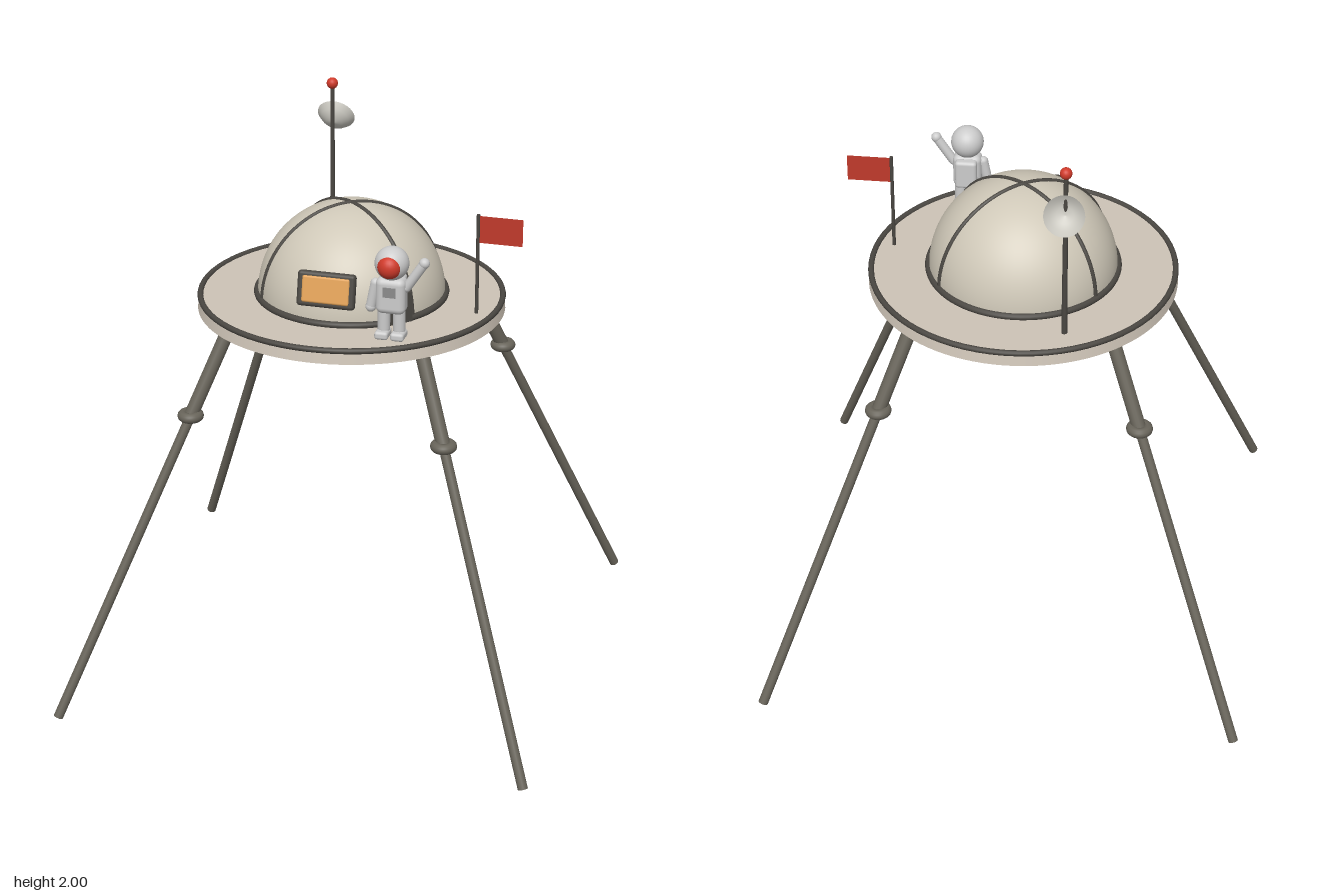
import * as THREE from 'three';
import { RoundedBoxGeometry } from 'three/addons/geometries/RoundedBoxGeometry.js';

const mat = (color, side = THREE.FrontSide) => new THREE.MeshStandardMaterial({ color, side });
const HULL = mat(0xcfc8b8), DECK = mat(0xcdc3b6), METAL = mat(0x68645a), TRIM = mat(0x4a4742);
const SUIT = mat(0xe6e6e4), GREY = mat(0x8c8c8c), RED = mat(0xd03a2a), AMBER = mat(0xe2a257);
const FLAG = mat(0xc0392b, THREE.DoubleSide), DISH = mat(0xcccac2, THREE.DoubleSide);

function add(parent, name, geometry, material, x = 0, y = 0, z = 0) {
  const mesh = new THREE.Mesh(geometry, material);
  mesh.name = name;
  mesh.position.set(x, y, z);
  parent.add(mesh);
  return mesh;
}

// Cylinder (or capsule) running from point a to point b
function rod(parent, name, a, b, radius, material, capsule = false) {
  const from = new THREE.Vector3(...a), to = new THREE.Vector3(...b);
  const dir = to.clone().sub(from), len = dir.length();
  const geometry = capsule
    ? new THREE.CapsuleGeometry(radius, len, 6, 16)
    : new THREE.CylinderGeometry(radius, radius, len, 16);
  const mesh = add(parent, name, geometry, material);
  mesh.position.copy(from).add(to).multiplyScalar(0.5);
  mesh.quaternion.setFromUnitVectors(new THREE.Vector3(0, 1, 0), dir.normalize());
  return mesh;
}

function ring(parent, name, radius, tube, material, x, y, z) {
  const mesh = add(parent, name, new THREE.TorusGeometry(radius, tube, 12, 72), material, x, y, z);
  mesh.rotation.x = Math.PI / 2;
  return mesh;
}

function buildLegs() {
  const g = new THREE.Group();
  g.name = 'legs';
  for (const sx of [-1, 1]) for (const sz of [-1, 1]) {
    const p = (d, y) => [sx * d, y, sz * d];
    rod(g, 'lowerLeg', p(0.821, 0.008), p(0.441, 1.035), 0.017, METAL);
    rod(g, 'upperLeg', p(0.441, 1.035), p(0.33, 1.335), 0.024, METAL);
    ring(g, 'legJoint', 0.027, 0.018, METAL, ...p(0.441, 1.037));
  }
  return g;
}

function buildDome() {
  const g = new THREE.Group();
  g.name = 'dome';
  g.position.y = 1.37;
  add(g, 'domeShell', new THREE.SphereGeometry(0.322, 64, 32, 0, Math.PI * 2, 0, Math.PI / 2), HULL);
  ring(g, 'domeBaseRing', 0.324, 0.012, TRIM, 0, 0.005, 0);
  for (const s of [-1, 1]) {
    const rib = add(g, 'domeRib', new THREE.TorusGeometry(0.321, 0.008, 10, 64, Math.PI), TRIM);
    rib.rotation.y = s * 0.61;
  }
  // Window leaning back with the dome
  const win = new THREE.Group();
  win.name = 'window';
  win.position.set(0, 0.12, 0.304);
  win.rotation.x = -0.22;
  add(win, 'windowFrame', new RoundedBoxGeometry(0.2, 0.12, 0.03, 3, 0.012), TRIM);
  add(win, 'windowPane', new RoundedBoxGeometry(0.165, 0.092, 0.02, 3, 0.008), AMBER, 0, 0, 0.009);
  g.add(win);
  // Hatch set at 45 degrees
  const hatch = add(g, 'hatch', new THREE.BoxGeometry(0.09, 0.105, 0.05), TRIM, 0.22, 0.052, 0.22);
  hatch.rotation.y = Math.PI / 4;
  return g;
}

function buildAntenna() {
  const g = new THREE.Group();
  g.name = 'antenna';
  g.position.set(-0.18, 0, -0.385);
  add(g, 'mast', new THREE.CylinderGeometry(0.007, 0.01, 0.62, 12), TRIM, 0, 1.675, 0);
  add(g, 'beacon', new THREE.SphereGeometry(0.02, 20, 14), RED, 0, 1.98, 0);
  const profile = [[0, 0], [0.028, 0.006], [0.05, 0.021], [0.067, 0.042]].map(p => new THREE.Vector2(...p));
  const dish = add(g, 'dish', new THREE.LatheGeometry(profile, 32), DISH, 0, 1.83, -0.011);
  dish.rotation.x = -1.07;
  return g;
}

function buildFlag() {
  const g = new THREE.Group();
  g.name = 'flag';
  g.position.set(0.458, 0, 0.073);
  add(g, 'flagPole', new THREE.CylinderGeometry(0.006, 0.006, 0.36, 10), TRIM, 0, 1.54, 0);
  add(g, 'flagCloth', new THREE.PlaneGeometry(0.15, 0.095), FLAG, 0.077, 1.668, 0);
  return g;
}

function buildAstronaut() {
  const g = new THREE.Group();
  g.name = 'astronaut';
  g.position.set(0.237, 1.37, 0.353);
  add(g, 'helmet', new THREE.SphereGeometry(0.057, 32, 20), SUIT, 0, 0.26, 0);
  const visor = add(g, 'visor', new THREE.SphereGeometry(0.04, 24, 16), RED, 0, 0.258, 0.032);
  visor.scale.set(1, 1, 0.9);
  add(g, 'torso', new RoundedBoxGeometry(0.1, 0.125, 0.066, 4, 0.022), SUIT, 0, 0.15, 0);
  add(g, 'chestPanel', new THREE.BoxGeometry(0.044, 0.034, 0.012), GREY, 0, 0.168, 0.031);
  add(g, 'backpack', new RoundedBoxGeometry(0.076, 0.105, 0.036, 3, 0.012), SUIT, 0, 0.155, -0.044);
  for (const s of [-1, 1]) {
    rod(g, 'leg', [s * 0.026, 0.03, 0], [s * 0.026, 0.1, 0], 0.021, SUIT, true);
    add(g, 'boot', new RoundedBoxGeometry(0.046, 0.028, 0.066, 3, 0.01), SUIT, s * 0.027, 0.013, 0.008);
  }
  // One arm hanging, one raised in a wave
  rod(g, 'rightArm', [-0.055, 0.185, 0], [-0.07, 0.105, 0], 0.017, SUIT, true);
  add(g, 'rightHand', new THREE.SphereGeometry(0.018, 16, 12), SUIT, -0.071, 0.1, 0);
  rod(g, 'leftArm', [0.05, 0.18, 0], [0.108, 0.268, 0], 0.016, SUIT, true);
  add(g, 'leftHand', new THREE.SphereGeometry(0.018, 16, 12), SUIT, 0.109, 0.27, 0);
  return g;
}

export function createModel() {
  const model = new THREE.Group();
  model.name = 'landerStation';
  // Round deck with a dark rim
  add(model, 'deck', new THREE.CylinderGeometry(0.52, 0.529, 0.045, 96), DECK, 0, 1.345, 0);
  ring(model, 'deckRim', 0.52, 0.01, TRIM, 0, 1.367, 0);
  model.add(buildLegs(), buildDome(), buildAntenna(), buildFlag(), buildAstronaut());
  return model;
}
